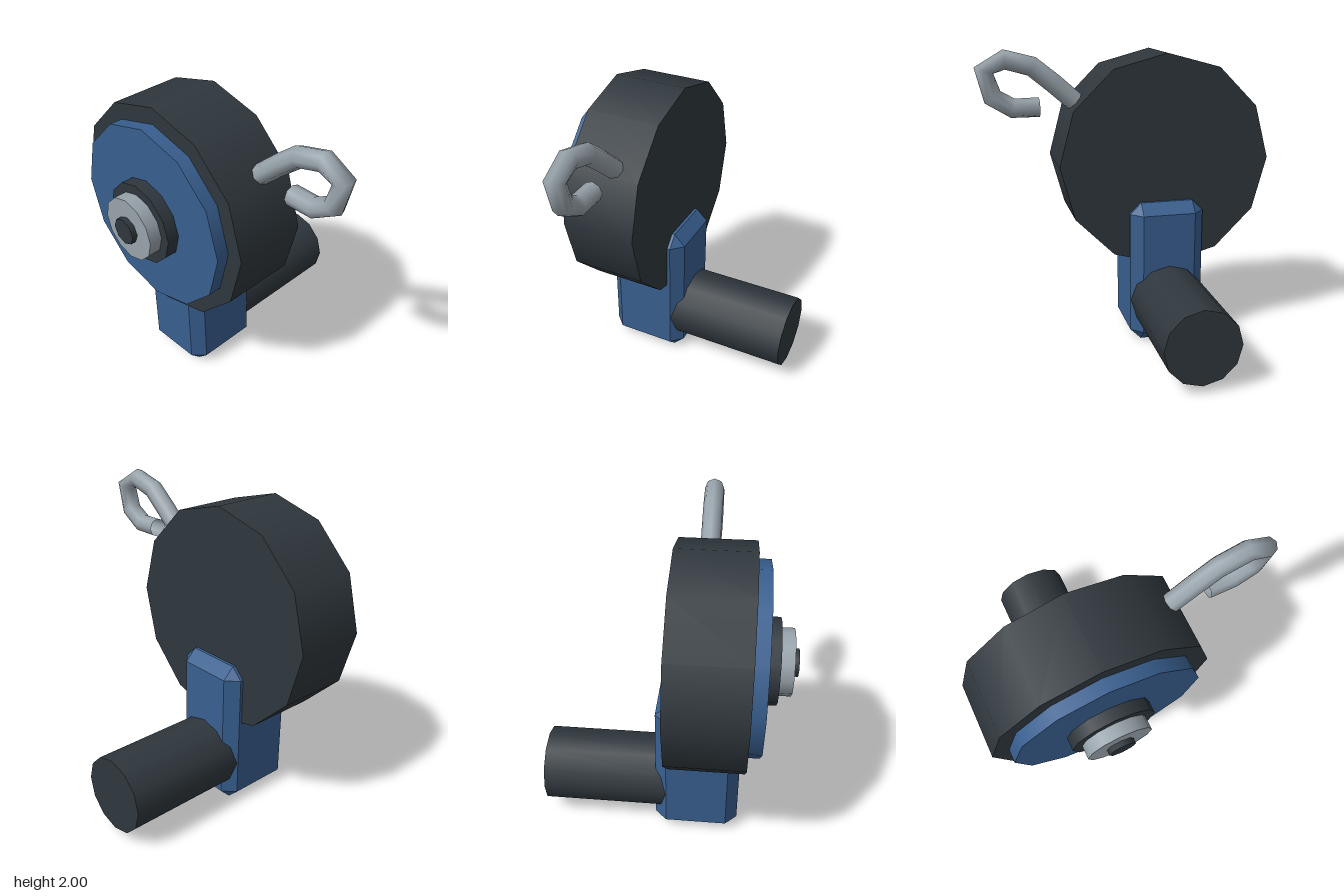
import * as THREE from 'three';
import { ConvexGeometry } from 'three/addons/geometries/ConvexGeometry.js';

const mat = (name, color, side = THREE.FrontSide) => {
  const m = new THREE.MeshStandardMaterial({ color, side });
  m.name = name;
  return m;
};

// Box with every edge cut at 45 degrees
function chamferedBox(w, h, d, c) {
  const pts = [];
  for (const x of [-1, 1]) for (const y of [-1, 1]) for (const z of [-1, 1]) {
    for (let axis = 0; axis < 3; axis++) {
      const cut = [c, c, c];
      cut[axis] = 0;
      pts.push(new THREE.Vector3(x * (w / 2 - cut[0]), y * (h / 2 - cut[1]), z * (d / 2 - cut[2])));
    }
  }
  return new ConvexGeometry(pts);
}

// Curve that keeps its evenly spaced corners, for a coarsely bent rod
class BentPath extends THREE.Curve {
  constructor(points) {
    super();
    this.points = points;
  }
  getPoint(t) {
    const n = this.points.length - 1;
    const i = Math.min(Math.floor(t * n + 1e-6), n - 1);
    return this.points[i].clone().lerp(this.points[i + 1], t * n - i);
  }
  getPointAt(u) { return this.getPoint(u); }
  getTangentAt(u) {
    const n = this.points.length - 1, i = Math.round(u * n);
    const a = this.points[Math.max(i - 1, 0)], b = this.points[Math.min(i + 1, n)];
    return b.clone().sub(a).normalize();
  }
}

export function createModel() {
  const group = new THREE.Group();
  const dark = mat('darkCharcoal', 0x2f373d);
  const blue = mat('steelBlue', 0x385f8f);
  const grey = mat('lightMetal', 0x98a3ab, THREE.DoubleSide);

  const add = (name, geometry, material) => {
    const mesh = new THREE.Mesh(geometry, material);
    mesh.name = name;
    group.add(mesh);
    return mesh;
  };

  // Cylinder lying along z
  const X = -0.255;
  const disc = (name, material, r, y, z0, z1, sides = 12) => {
    const g = new THREE.CylinderGeometry(r, r, z1 - z0, sides);
    g.rotateX(Math.PI / 2);
    add(name, g, material).position.set(X, y, (z0 + z1) / 2);
  };

  // Drum and the stack of discs on its front
  disc('drum', dark, 0.718, 1.255, 0.035, 0.52);
  disc('facePlate', blue, 0.612, 1.253, 0.5, 0.605);
  disc('hubBase', dark, 0.272, 1.247, 0.59, 0.685);
  disc('hubRing', grey, 0.21, 1.247, 0.67, 0.77);
  disc('hubPin', dark, 0.088, 1.247, 0.75, 0.805, 8);

  // Mounting block and rear arm
  add('mountBlock', chamferedBox(0.508, 0.99, 0.55, 0.075), blue).position.set(X, 0.495, 0.215);
  disc('rearArm', dark, 0.25, 0.302, -0.805, 0.1);

  // Bent hook rod
  const path = [
    [0.325, 1.656], [0.465, 1.78], [0.6, 1.89], [0.775, 1.937],
    [0.905, 1.87], [0.857, 1.7], [0.73, 1.625], [0.56, 1.627],
  ].map(([x, y]) => new THREE.Vector3(x, y, 0.22));
  add('hook', new THREE.TubeGeometry(new BentPath(path), path.length - 1, 0.064, 8), grey);

  return group;
}
